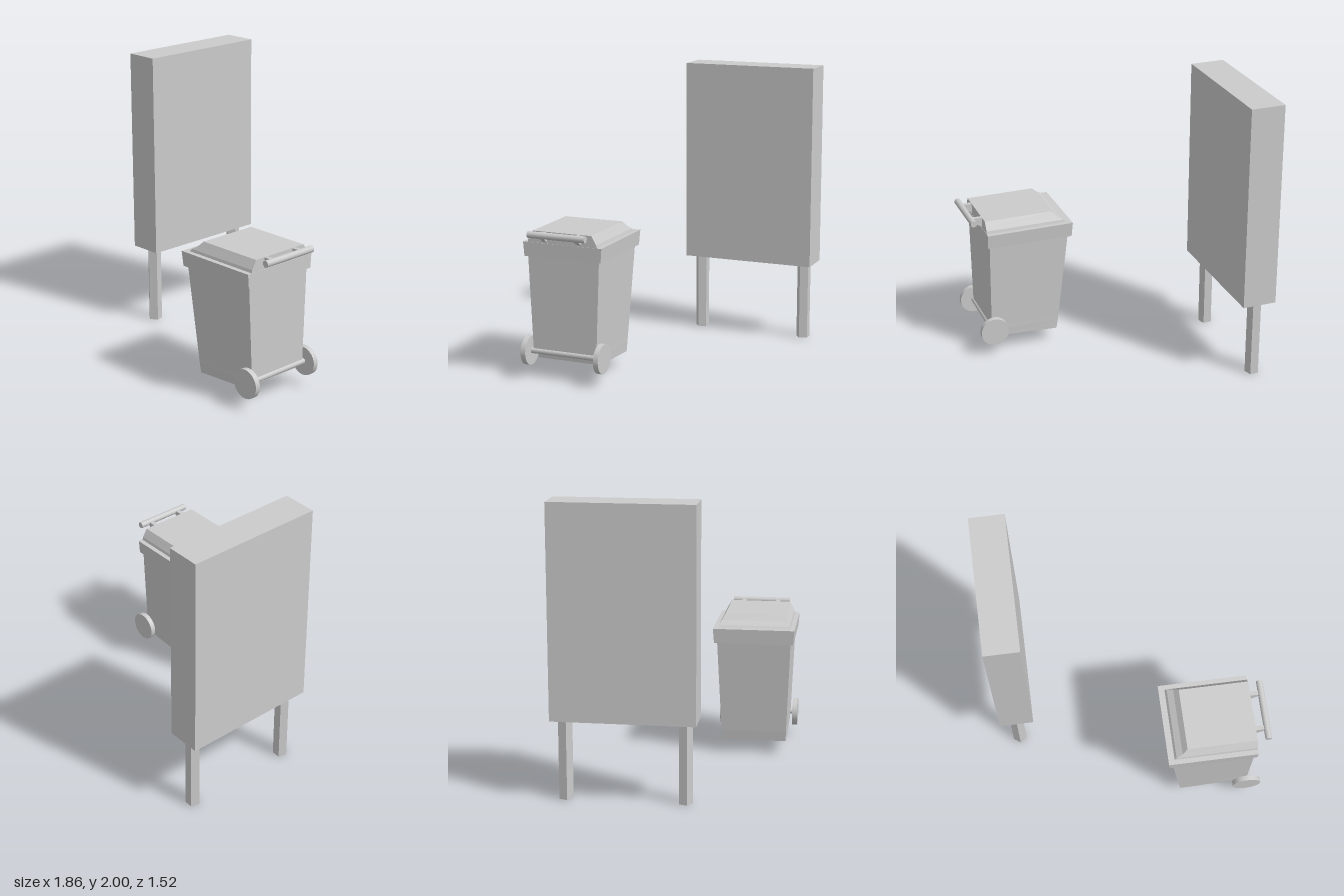
import * as THREE from 'three';

const material = new THREE.MeshStandardMaterial({ color: 0xcccccc });
const flat = new THREE.MeshStandardMaterial({ color: 0xcccccc, flatShading: true });
const BIN_Z = 0.467;

function add(parent, name, geometry, x, y, z, mat = material) {
  const mesh = new THREE.Mesh(geometry, mat);
  mesh.name = name;
  mesh.position.set(x, y, z);
  parent.add(mesh);
  return mesh;
}

// Four-sided loft; each ring is [x0, y at x0, x1, y at x1, half width in z]
function loft(rings) {
  const points = [];
  for (const [x0, y0, x1, y1, h] of rings) {
    points.push(x0, y0, h, x1, y1, h, x1, y1, -h, x0, y0, -h);
  }
  const index = [0, 3, 2, 0, 2, 1];
  for (let r = 0; r < rings.length - 1; r++) {
    for (let i = 0; i < 4; i++) {
      const a = r * 4 + i, b = r * 4 + (i + 1) % 4;
      index.push(a, b, b + 4, a, b + 4, a + 4);
    }
  }
  const t = (rings.length - 1) * 4;
  index.push(t, t + 1, t + 2, t, t + 2, t + 3);
  const geometry = new THREE.BufferGeometry();
  geometry.setAttribute('position', new THREE.Float32BufferAttribute(points, 3));
  geometry.setIndex(index);
  const result = geometry.toNonIndexed();
  result.computeVertexNormals();
  return result;
}

// Cylinder lying along z
function rod(radius, length, sides) {
  return new THREE.CylinderGeometry(radius, radius, length, sides).rotateX(Math.PI / 2);
}

function createBoard() {
  const board = new THREE.Group();
  board.name = 'standingBoard';
  add(board, 'panel', new THREE.BoxGeometry(0.24, 1.44, 0.965), -0.81, 1.28, -0.278);
  // Five-sided posts
  for (const z of [0.12, -0.68]) {
    add(board, 'post', new THREE.CylinderGeometry(0.05, 0.05, 0.56, 5), -0.812, 0.28, z, flat);
  }
  return board;
}

function createBin() {
  const bin = new THREE.Group();
  bin.name = 'wheeledBin';
  bin.position.z = BIN_Z;

  // Tapered body with a recess at the lower back for the axle
  add(bin, 'body', loft([
    [0.32, 0.095, 0.745, 0.118, 0.231],
    [0.31, 0.165, 0.75, 0.165, 0.234],
    [0.306, 0.2, 0.808, 0.2, 0.235],
    [0.235, 0.85, 0.81, 0.85, 0.262],
  ]), 0, 0, 0);
  add(bin, 'rim', loft([
    [0.213, 0.838, 0.826, 0.842, 0.281],
    [0.205, 0.942, 0.827, 0.94, 0.289],
  ]), 0, 0, 0);

  // Lid with sloped front and sides and an upright back
  add(bin, 'lid', loft([
    [0.245, 0.938, 0.825, 0.938, 0.256],
    [0.262, 0.96, 0.825, 0.96, 0.25],
    [0.305, 0.985, 0.825, 0.985, 0.236],
    [0.34, 1.022, 0.825, 1.02, 0.216],
  ]), 0, 0, 0);

  // Handle bar on two tapering brackets
  const bracket = new THREE.Shape([
    [0.82, 0.945], [0.885, 0.987], [0.9, 1.02], [0.82, 1.018],
  ].map(([x, y]) => new THREE.Vector2(x, y)));
  const bracketGeometry = new THREE.ExtrudeGeometry(bracket, { depth: 0.03, bevelEnabled: false });
  for (const side of [-1, 1]) {
    add(bin, 'handleBracket', bracketGeometry, 0, 0, side * 0.126 - 0.015);
  }
  add(bin, 'handleBar', rod(0.023, 0.42, 16), 0.902, 1.01, 0);

  // Axle and wheels
  add(bin, 'axle', rod(0.02, 0.52, 16), 0.8, 0.182, 0);
  for (const side of [-1, 1]) {
    add(bin, 'wheel', rod(0.101, 0.036, 32), 0.798, 0.182, side * 0.27);
  }
  return bin;
}

export function createModel() {
  const model = new THREE.Group();
  model.name = 'boardAndBin';
  model.add(createBoard(), createBin());
  return model;
}
